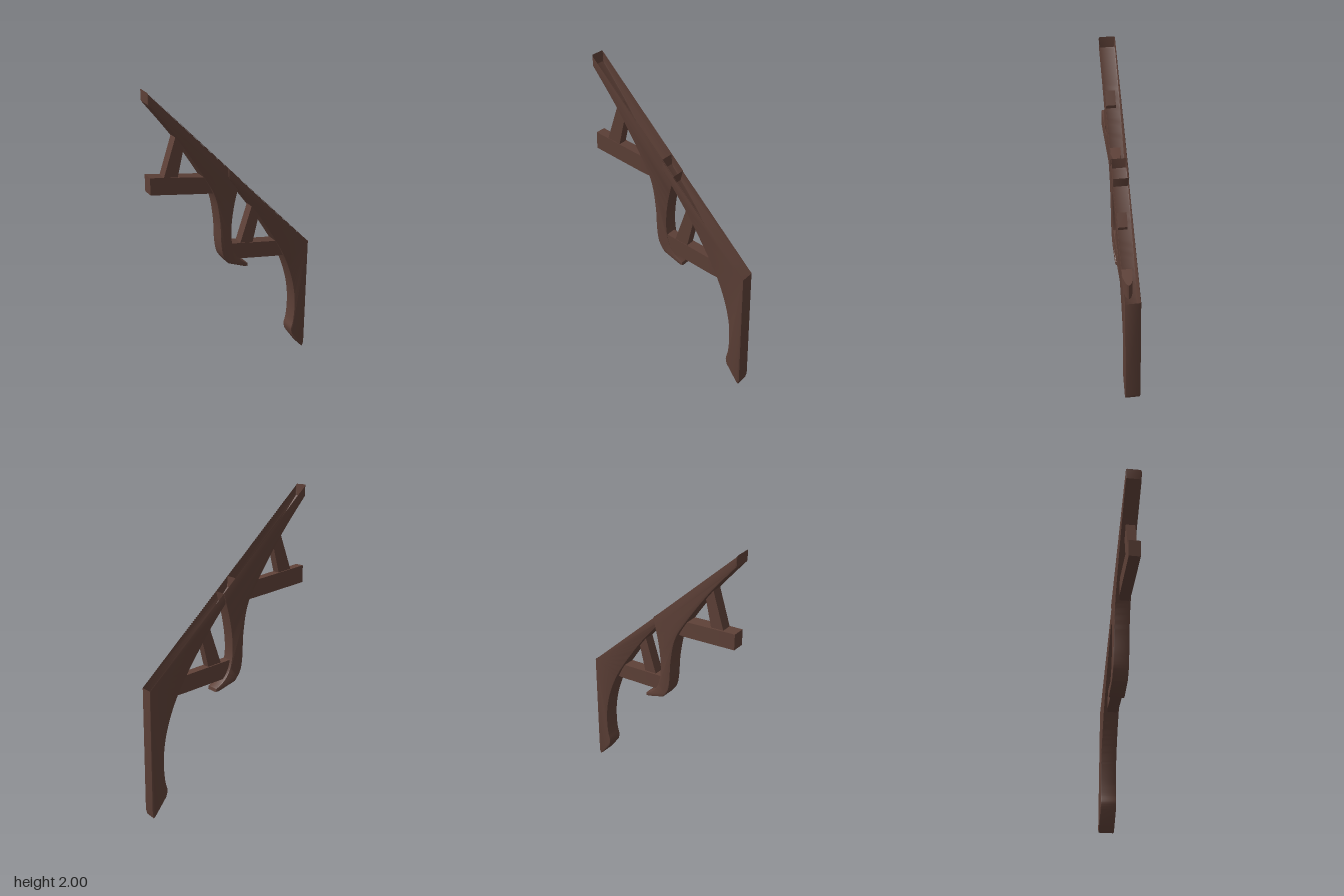
import * as THREE from 'three';
import { toCreasedNormals } from 'three/addons/utils/BufferGeometryUtils.js';

const material = new THREE.MeshStandardMaterial({ color: 0x5d4037, side: THREE.DoubleSide });
const STEP = [0.515, -0.55]; // offset from the upper bracket to the lower one

function addMesh(parent, name, geometry) {
  const mesh = new THREE.Mesh(toCreasedNormals(geometry, 0.6), material);
  mesh.name = name;
  parent.add(mesh);
  return mesh;
}

// Removes the faces along the sloping top edge a-b, leaving an open channel
function openEdge(geometry, a, b) {
  const pos = geometry.attributes.position;
  const n = new THREE.Vector3(a[1] - b[1], b[0] - a[0], 0).normalize();
  const origin = new THREE.Vector3(a[0], a[1], 0);
  const tri = new THREE.Triangle(), mid = new THREE.Vector3(), normal = new THREE.Vector3();
  const kept = [];
  for (let i = 0; i < pos.count; i += 3) {
    tri.setFromAttributeAndIndices(pos, i, i + 1, i + 2);
    tri.getMidpoint(mid);
    tri.getNormal(normal);
    const nearEdge = Math.abs(mid.sub(origin).dot(n)) < 0.02;
    if (nearEdge && normal.dot(n) > 0.6) continue;
    for (const v of [tri.a, tri.b, tri.c]) kept.push(v.x, v.y, v.z);
  }
  const out = new THREE.BufferGeometry();
  out.setAttribute('position', new THREE.Float32BufferAttribute(kept, 3));
  return out;
}

// Curved bracket: straight sloping top, outline of lines and splines
function bracketGeometry(shape, a, b, yTop, yBottom) {
  const bevel = 0.007;
  const flat = new THREE.ExtrudeGeometry(shape, {
    depth: 0.1 - 2 * bevel, curveSegments: 10, bevelEnabled: true,
    bevelThickness: bevel, bevelSize: bevel, bevelOffset: -bevel, bevelSegments: 2,
  });
  const geometry = openEdge(flat, a, b);
  // the bracket leans back slightly towards its foot
  const pos = geometry.attributes.position;
  for (let i = 0; i < pos.count; i++) {
    const t = (yTop - pos.getY(i)) / (yTop - yBottom);
    pos.setZ(i, pos.getZ(i) - 0.045 + bevel - 0.01 * t);
  }
  return geometry;
}

const spline = (shape, pts) => shape.splineThru(pts.map(([x, y]) => new THREE.Vector2(x, y)));

// Upper bracket, ending in a foot hooked forward
function upperBracket() {
  const a = [-0.56, 2.0], b = [0.04, 1.36];
  const s = new THREE.Shape();
  s.moveTo(...a);
  s.lineTo(-0.56, 1.93);
  spline(s, [[-0.38, 1.69], [-0.21, 1.42], [-0.135, 1.27], [-0.104, 1.1], [-0.096, 0.95],
    [-0.08, 0.86], [-0.04, 0.797]]);
  s.lineTo(0.08, 0.745);
  s.lineTo(0.102, 0.745);
  s.lineTo(0.098, 0.765);
  spline(s, [[0.04, 0.81], [0.0, 0.875], [-0.02, 0.97], [-0.018, 1.08], [0.0, 1.2], [0.025, 1.3]]);
  s.lineTo(...b);
  s.closePath();
  return bracketGeometry(s, a, b, 2.0, 0.745);
}

// Lower bracket, ending in a long straight-backed leg
function lowerBracket() {
  const a = [-0.045, 1.448], b = [0.555, 0.812];
  const s = new THREE.Shape();
  s.moveTo(...a);
  s.lineTo(-0.045, 1.38);
  spline(s, [[0.135, 1.14], [0.3, 0.878], [0.38, 0.72], [0.43, 0.58], [0.458, 0.45], [0.465, 0.33],
    [0.458, 0.23], [0.444, 0.17], [0.452, 0.125]]);
  s.lineTo(0.53, 0.01);
  s.lineTo(0.542, 0.0);
  s.lineTo(0.552, 0.03);
  s.lineTo(...b);
  s.closePath();
  return bracketGeometry(s, a, b, 1.45, 0);
}

// Sloping bar whose hidden end narrows to a rounded tongue inside the channel
function barGeometry() {
  const plan = new THREE.Shape();
  plan.moveTo(-0.56, -0.043);
  plan.lineTo(-0.22, -0.043);
  plan.bezierCurveTo(-0.15, -0.043, -0.085, -0.025, -0.085, -0.006);
  plan.bezierCurveTo(-0.085, 0.015, -0.15, 0.03, -0.22, 0.03);
  plan.lineTo(-0.56, 0.03);
  plan.closePath();
  const geometry = new THREE.ExtrudeGeometry(plan, { depth: 0.108, bevelEnabled: false, curveSegments: 8 });
  geometry.rotateX(-Math.PI / 2);
  const pos = geometry.attributes.position;
  for (let i = 0; i < pos.count; i++) {
    pos.setY(i, pos.getY(i) + 1.38 - 0.19 * (pos.getX(i) + 0.56));
  }
  return geometry;
}

// Tapered strut from the bar up into the bracket
function strutGeometry() {
  const s = new THREE.Shape([[-0.48, 1.44], [-0.388, 1.425], [-0.333, 1.65], [-0.383, 1.725]]
    .map(([x, y]) => new THREE.Vector2(x, y)));
  const geometry = new THREE.ExtrudeGeometry(s, { depth: 0.06, bevelEnabled: false });
  geometry.translate(0, 0, -0.02);
  return geometry;
}

export function createModel() {
  const model = new THREE.Group();
  model.name = 'steppedBracket';
  addMesh(model, 'upperBracket', upperBracket());
  addMesh(model, 'lowerBracket', lowerBracket());
  ['upper', 'lower'].forEach((level, i) => {
    const brace = new THREE.Group();
    brace.name = level + 'Brace';
    addMesh(brace, level + 'Bar', barGeometry());
    addMesh(brace, level + 'Strut', strutGeometry());
    brace.position.set(STEP[0] * i, STEP[1] * i, 0);
    model.add(brace);
  });
  return model;
}
